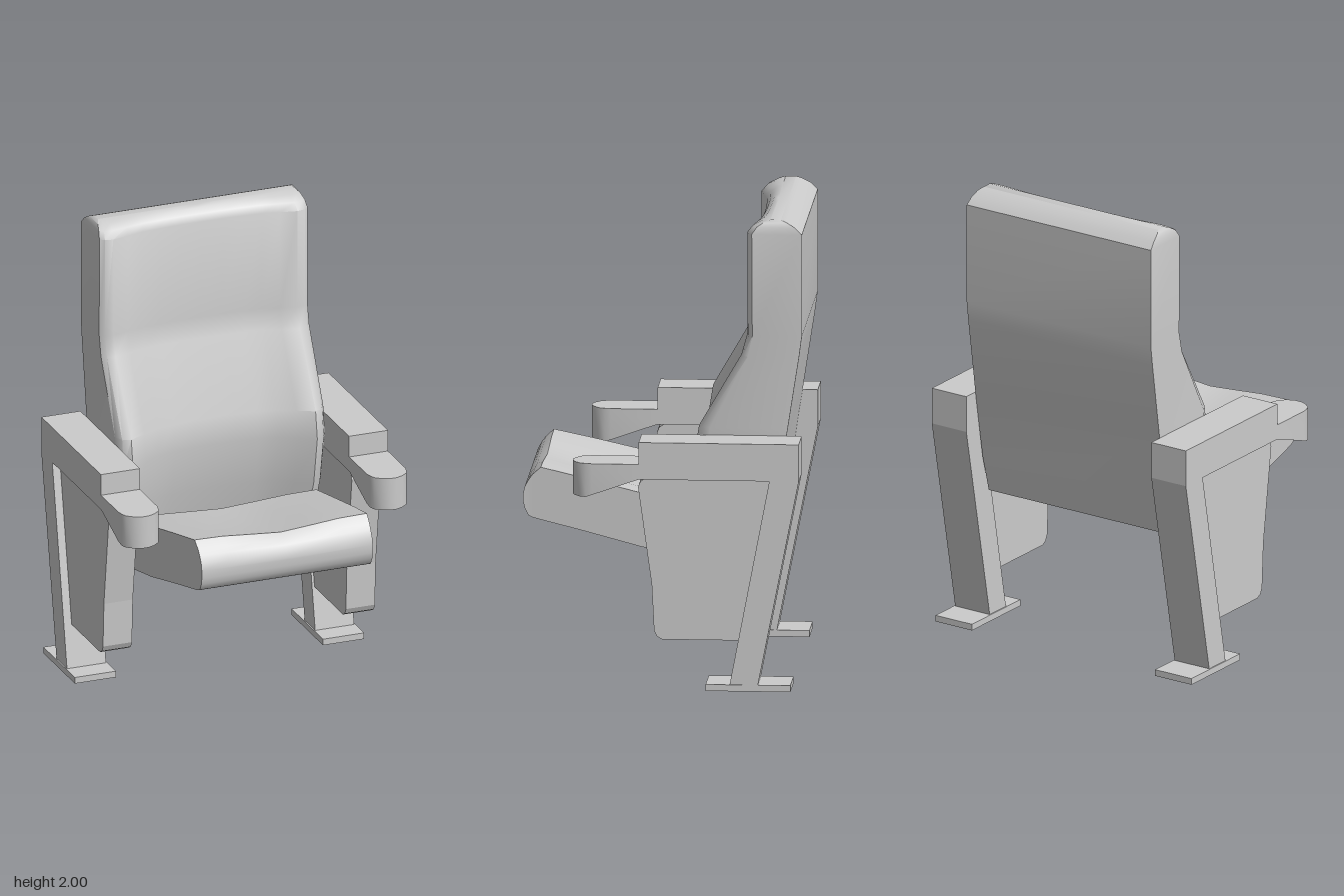
import * as THREE from 'three';
import { toCreasedNormals } from 'three/addons/utils/BufferGeometryUtils.js';

const material = new THREE.MeshStandardMaterial({ color: 0xcccccc });

function addMesh(parent, geometry, name) {
  const mesh = new THREE.Mesh(geometry, material);
  mesh.name = name;
  parent.add(mesh);
  return mesh;
}

// Closed loft through rings of [x, y, z] points, counter-clockwise about the loft direction
function loft(rings, crease) {
  const n = rings[0].length, last = (rings.length - 1) * n;
  const points = rings.flat();
  const index = [];
  for (let i = 0; i < rings.length - 1; i++) {
    for (let j = 0; j < n; j++) {
      const a = i * n + j, b = i * n + (j + 1) % n;
      index.push(a, b, b + n, a, b + n, a + n);
    }
  }
  const centre = ring => [0, 1, 2].map(k => ring.reduce((s, p) => s + p[k], 0) / n);
  const start = points.push(centre(rings[0])) - 1;
  const end = points.push(centre(rings[rings.length - 1])) - 1;
  for (let j = 0; j < n; j++) {
    const k = (j + 1) % n;
    index.push(start, k, j, end, last + j, last + k);
  }
  const geometry = new THREE.BufferGeometry();
  geometry.setAttribute('position', new THREE.Float32BufferAttribute(points.flat(), 3));
  geometry.setIndex(index);
  return toCreasedNormals(geometry, crease);
}

// Side profile of [z, y] points, extruded across x and centred on x = 0
function sideProfile(points, width, hole) {
  const shape = new THREE.Shape(points.map(p => new THREE.Vector2(...p)));
  if (hole) shape.holes.push(new THREE.Path(hole.map(p => new THREE.Vector2(...p))));
  const geometry = new THREE.ExtrudeGeometry(shape, { depth: width, bevelEnabled: false });
  return geometry.rotateY(-Math.PI / 2).translate(width / 2, 0, 0);
}

// Backrest: horizontal sections with side bolsters and a hollow middle
function backrest() {
  // y, half width, bolster z, back z, hollow depth
  const rows = [
    [0.61, 0.455, -0.2, -0.46, 0.11],
    [0.77, 0.47, -0.165, -0.485, 0.11],
    [0.98, 0.475, -0.135, -0.515, 0.11],
    [1.1, 0.475, -0.155, -0.535, 0.1],
    [1.41, 0.475, -0.335, -0.583, 0.06],
    [1.5, 0.475, -0.36, -0.595, 0.05],
    [1.94, 0.475, -0.36, -0.595, 0.045],
    [1.97, 0.47, -0.385, -0.565, 0.035],
    [1.99, 0.462, -0.425, -0.53, 0.015],
    [2.0, 0.45, -0.46, -0.505, 0]
  ];
  // fraction of half width, fraction of hollow depth
  const half = [[0.2, 0.98], [0.4, 0.87], [0.57, 0.73], [0.73, 0.35], [0.885, 0], [0.96, 0.15], [1, 0.5]];
  const front = [...half.map(([x, d]) => [-x, d]).reverse(), [0, 1], ...half];
  return loft(rows.map(([y, w, f, b, d]) => [
    ...front.map(([x, k]) => [x * w, y, f - k * d]),
    [w, y, b], [-w, y, b]
  ]), 0.75);
}

// Seat cushion: upright sections from the rear edge to the rounded front
function seat() {
  // z, half width, bottom y, top y, dip
  const rows = [
    [-0.157, 0.432, 0.522, 0.74, 0.02],
    [0.09, 0.418, 0.567, 0.8, 0.04],
    [0.35, 0.404, 0.633, 0.862, 0.035],
    [0.52, 0.393, 0.673, 0.9, 0.025],
    [0.555, 0.391, 0.682, 0.868, 0.015],
    [0.572, 0.39, 0.69, 0.845, 0.01],
    [0.588, 0.39, 0.72, 0.815, 0],
    [0.595, 0.39, 0.75, 0.785, 0]
  ];
  const top = [[1, 0], [0.68, 0.1], [0.35, 0.55], [0, 1], [-0.35, 0.55], [-0.68, 0.1], [-1, 0]];
  return loft(rows.map(([z, w, bottom, y, dip]) => [
    [-w, bottom, z], [w, bottom, z],
    ...top.map(([x, k]) => [x * w, y - k * dip, z])
  ]), 0.65).translate(-0.008, 0, 0);
}

// Tapering arm tip with a rounded end
function armTip() {
  const rows = [[0.085, 0.0885, 0.91], [0.285, 0.0885, 0.84], [0.31, 0.083, 0.83],
    [0.335, 0.074, 0.83], [0.358, 0.045, 0.83], [0.37, 0.015, 0.83]];
  return loft(rows.map(([z, w, y]) => [[-w, y, z], [w, y, z], [w, 0.975, z], [-w, 0.975, z]]), 0.6);
}

// Leg, arm beam, side panel and foot of one side
function sideFrame(side) {
  const group = new THREE.Group();
  group.name = side > 0 ? 'leftSideFrame' : 'rightSideFrame';
  group.position.x = side * 0.566;
  addMesh(group, sideProfile([[-0.42, 0.02], [-0.3, 0.02], [-0.47, 0.91], [0.085, 0.91],
    [0.085, 1.07], [-0.595, 1.07], [-0.595, 0.91]], 0.178), 'legAndArmBeam');
  addMesh(group, armTip(), 'armTip');
  const panel = sideProfile([[-0.34, 0.212], [-0.012, 0.212], [0.01, 0.225], [0.022, 0.25], [0.032, 0.45],
    [0.09, 0.87], [0.08, 0.895], [0.055, 0.911], [-0.47, 0.911]], 0.132);
  addMesh(group, panel, 'sidePanel').position.x = side * -0.012;

  // Foot plate with a raised rim underneath
  const plate = new THREE.BoxGeometry(0.188, 0.012, 0.36);
  addMesh(group, plate, 'footPlate').position.set(0, 0.022, -0.38);
  for (const s of [-1, 1]) {
    addMesh(group, new THREE.BoxGeometry(0.016, 0.016, 0.36), 'footRimSide').position.set(s * 0.086, 0.008, -0.38);
    addMesh(group, new THREE.BoxGeometry(0.156, 0.016, 0.016), 'footRimEnd').position.set(0, 0.008, -0.38 + s * 0.172);
  }
  addMesh(group, new THREE.BoxGeometry(0.156, 0.016, 0.12), 'legBase').position.set(0, 0.008, -0.36);
  return group;
}

export function createModel() {
  const model = new THREE.Group();
  model.name = 'theaterSeat';
  addMesh(model, backrest(), 'backrest');
  addMesh(model, seat(), 'seat');
  model.add(sideFrame(1), sideFrame(-1));
  return model;
}
